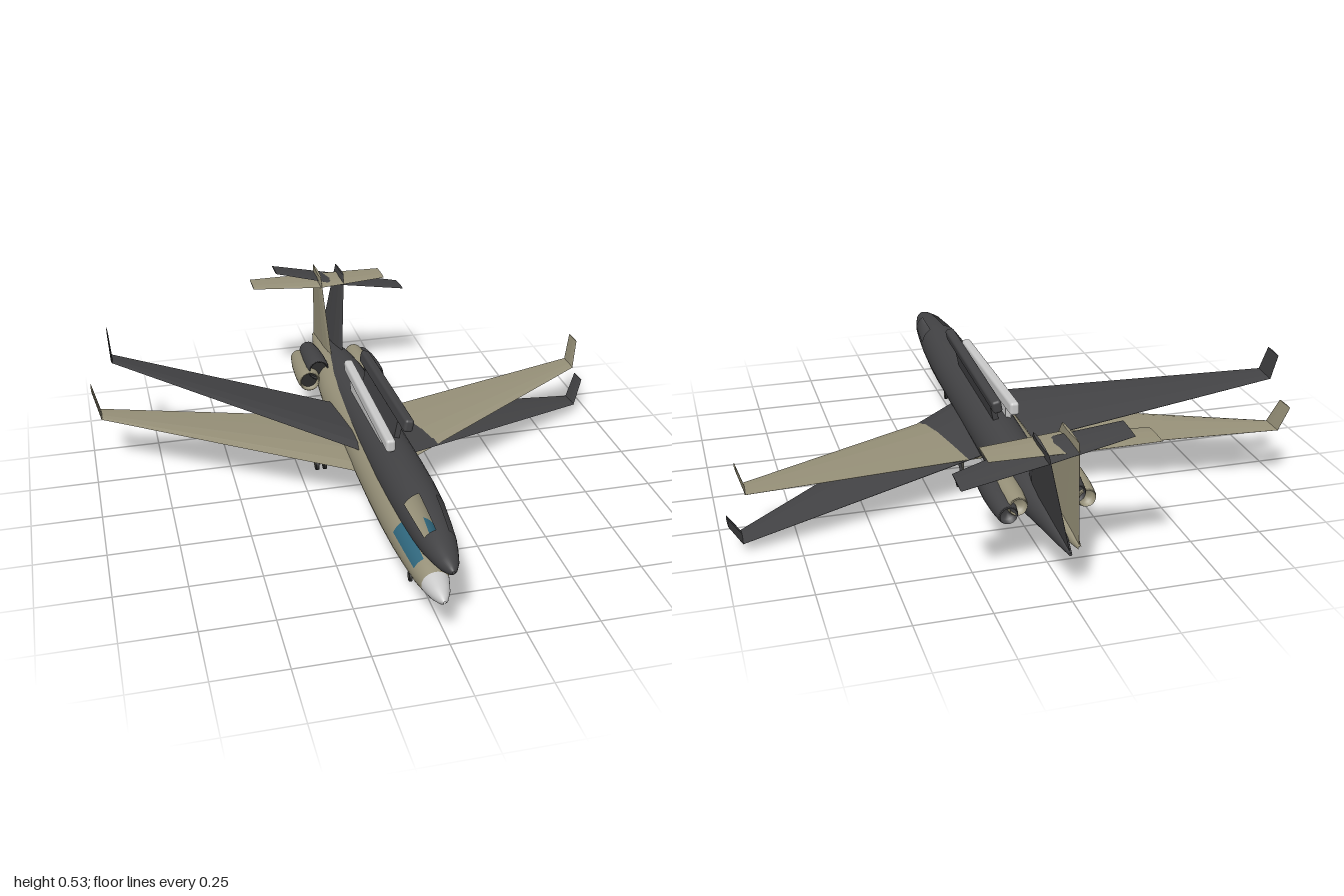
import * as THREE from 'three';
import { RoundedBoxGeometry } from 'three/addons/geometries/RoundedBoxGeometry.js';

const mat = (name, color, side = THREE.FrontSide) => {
  const m = new THREE.MeshStandardMaterial({ color, side });
  m.name = name;
  return m;
};

// Fuselage stations: z, centre y, half width, half height
const STATIONS = [
  [1.0, -0.015, 0.004, 0.004], [0.985, -0.015, 0.017, 0.017], [0.95, -0.014, 0.033, 0.031],
  [0.9, -0.012, 0.046, 0.043], [0.84, -0.009, 0.058, 0.056], [0.75, -0.005, 0.068, 0.068],
  [0.65, -0.001, 0.077, 0.078], [0.52, 0, 0.083, 0.083], [0.35, 0, 0.086, 0.085],
  [-0.4, 0, 0.086, 0.085], [-0.52, 0.004, 0.079, 0.078], [-0.65, 0.007, 0.063, 0.065],
  [-0.8, 0.007, 0.038, 0.043], [-0.92, 0.003, 0.018, 0.022], [-0.99, 0, 0.005, 0.007],
];
const SEG = 32;

// Smooth body split into body, nose cone and cockpit window faces
function fuselageGeometry(openWindows) {
  const pos = [], lists = [[], [], []], all = [];
  for (const [z, cy, w, h] of STATIONS)
    for (let j = 0; j < SEG; j++) {
      const a = (j / SEG) * Math.PI * 2;
      pos.push(Math.sin(a) * w, cy + Math.cos(a) * h, z);
    }
  for (let i = 0; i < STATIONS.length - 1; i++)
    for (let j = 0; j < SEG; j++) {
      const a = i * SEG + j, b = i * SEG + (j + 1) % SEG, c = a + SEG, d = b + SEG;
      const k = Math.min(j, SEG - 1 - j);
      const kind = i < 3 ? 1 : (i === 4 || i === 5) && k >= 2 && k < 6 ? 2 : 0;
      lists[kind].push(a, b, c, b, d, c);
      all.push(a, b, c, b, d, c);
    }
  const g = new THREE.BufferGeometry();
  g.setAttribute('position', new THREE.Float32BufferAttribute(pos, 3));
  g.setIndex(all);
  g.computeVertexNormals();
  const used = openWindows ? lists.slice(0, 2) : lists;
  g.setIndex(used.flat());
  let start = 0;
  used.forEach((l, i) => { g.addGroup(start, l.length, i); start += l.length; });
  return g;
}

// Aerofoil section: position, leading and trailing z, thickness, thickness direction
function section(x, y, zl, zt, t, nx, ny) {
  const at = (f, s) => [x + nx * t * s, y + ny * t * s, zl + (zt - zl) * f];
  return [at(0, 0), at(0.12, 0.35), at(0.35, 0.5), at(0.7, 0.3), at(1, 0.03),
    at(1, -0.03), at(0.7, -0.3), at(0.35, -0.5), at(0.12, -0.35)];
}

// Faceted solid through a series of sections, turned outward by its signed volume
function loft(rings) {
  const n = rings[0].length, tris = [], last = rings[rings.length - 1];
  for (let i = 0; i < rings.length - 1; i++)
    for (let j = 0; j < n; j++) {
      const k = (j + 1) % n, [p, q] = [rings[i], rings[i + 1]];
      tris.push([p[j], p[k], q[j]], [p[k], q[k], q[j]]);
    }
  for (let j = 1; j < n - 1; j++)
    tris.push([rings[0][0], rings[0][j + 1], rings[0][j]], [last[0], last[j], last[j + 1]]);
  const V = (p) => new THREE.Vector3(...p);
  let volume = 0;
  for (const [a, b, c] of tris) volume += V(a).dot(V(b).cross(V(c)));
  if (volume < 0) tris.forEach((t) => t.reverse());
  const g = new THREE.BufferGeometry();
  g.setAttribute('position', new THREE.Float32BufferAttribute(tris.flat(2), 3));
  g.computeVertexNormals();
  return g;
}

function add(parent, name, geo, material, x = 0, y = 0, z = 0) {
  const m = new THREE.Mesh(geo, material);
  m.name = name;
  m.position.set(x, y, z);
  parent.add(m);
  return m;
}

// Undercarriage leg with twin wheels
function gear(parent, name, x, z, top, wheelY, r, c) {
  const g = new THREE.Group();
  g.name = name;
  g.position.set(x, 0, z);
  parent.add(g);
  add(g, 'strut', new THREE.CylinderGeometry(0.006, 0.006, top - wheelY, 10), c.gear, 0, (top + wheelY) / 2);
  add(g, 'axle', new THREE.CylinderGeometry(0.004, 0.004, r * 1.3, 8), c.gear, 0, wheelY).rotation.z = Math.PI / 2;
  for (const s of [-1, 1]) {
    add(g, 'wheel', new THREE.CylinderGeometry(r, r, r * 0.5, 20), c.tyre, s * r * 0.62, wheelY).rotation.z = Math.PI / 2;
    add(g, 'hub', new THREE.CylinderGeometry(r * 0.5, r * 0.5, r * 0.54, 14), c.gear, s * r * 0.62, wheelY).rotation.z = Math.PI / 2;
  }
}

// Parts that repeat on each side, built for +x
function sideParts(c) {
  const g = new THREE.Group();
  add(g, 'wing', loft([
    section(0, -0.022, 0.21, -0.25, 0.034, 0, 1),
    section(0.085, -0.017, 0.162, -0.265, 0.032, 0, 1),
    section(0.94, 0.035, -0.345, -0.435, 0.008, 0, 1),
  ]), c.skin);
  add(g, 'winglet', loft([
    section(0.938, 0.034, -0.345, -0.435, 0.008, 1, 0),
    section(0.964, 0.13, -0.385, -0.462, 0.005, 1, 0),
  ]), c.skin);
  add(g, 'tailplane', loft([
    section(0, 0.298, -0.785, -0.945, 0.013, 0, 1),
    section(0.273, 0.298, -0.832, -0.94, 0.007, 0, 1),
  ]), c.skin);

  // Engine nacelle with recessed intake and exhaust
  const profile = [[0, -0.22], [0.026, -0.22], [0.028, -0.245], [0.033, -0.235], [0.041, -0.17],
    [0.045, -0.09], [0.044, -0.03], [0.04, -0.003], [0.037, 0], [0.034, -0.004], [0.033, -0.03], [0, -0.03]]
    .map(([r, z]) => new THREE.Vector2(r, z));
  add(g, 'engine', new THREE.LatheGeometry(profile, 28), c.skin, 0.115, 0.025, -0.49).rotation.x = Math.PI / 2;
  add(g, 'intakeFan', new THREE.CircleGeometry(0.033, 24), c.tyre, 0.115, 0.025, -0.515);
  add(g, 'enginePylon', new THREE.BoxGeometry(0.06, 0.014, 0.15), c.skin, 0.065, 0.022, -0.6);
  gear(g, 'mainGear', 0.147, -0.15, -0.01, -0.153, 0.024, c);
  return g;
}

function aircraft(name, c) {
  const g = new THREE.Group();
  g.name = name;
  add(g, 'fuselage', fuselageGeometry(!c.window), [c.skin, c.nose, c.window].filter(Boolean));
  for (const s of [1, -1]) {
    const side = sideParts(c);
    side.name = s > 0 ? 'leftSide' : 'rightSide';
    side.scale.x = s;
    g.add(side);
  }
  add(g, 'tailFin', loft([
    section(0, 0, -0.56, -0.985, 0.02, 1, 0),
    section(0, 0.335, -0.8, -0.96, 0.01, 1, 0),
  ]), c.skin);
  // Long pod carried above the back, and a small belly fairing
  add(g, 'dorsalPod', new RoundedBoxGeometry(0.034, 0.047, 0.66, 3, 0.011), c.pod, 0, 0.172, 0.02);
  add(g, 'podPylon', new THREE.BoxGeometry(0.02, 0.08, 0.48), c.pod, 0, 0.115, 0.01);
  const belly = add(g, 'bellyFairing', new THREE.SphereGeometry(1, 20, 12), c.pod, 0, -0.082, 0.11);
  belly.scale.set(0.035, 0.028, 0.085);
  gear(g, 'noseGear', 0, 0.645, -0.06, -0.158, 0.017, c);
  return g;
}

export function createModel() {
  const tan = mat('tan paint', 0x969078);
  const dark = mat('charcoal paint', 0x424244, THREE.DoubleSide);
  const light = mat('light grey', 0xc8c8c8);
  const glass = mat('blue glass', 0x2f667c);
  const rubber = mat('tyre black', 0x2c2c2c);
  const metal = mat('gear grey', 0x5a5850);

  const model = new THREE.Group();
  model.name = 'twoAircraft';
  const lower = aircraft('tanAircraft',
    { skin: tan, nose: light, window: glass, pod: light, gear: metal, tyre: rubber });
  lower.position.set(-0.022, 0.18, 0);
  // Banked, nose-up aircraft with open cockpit windows
  const upper = aircraft('darkAircraft',
    { skin: dark, nose: dark, window: null, pod: dark, gear: dark, tyre: rubber });
  upper.position.set(0.01, 0.223, -0.01);
  upper.rotation.set(-0.055, 0, -0.209);
  model.add(lower, upper);
  return model;
}
